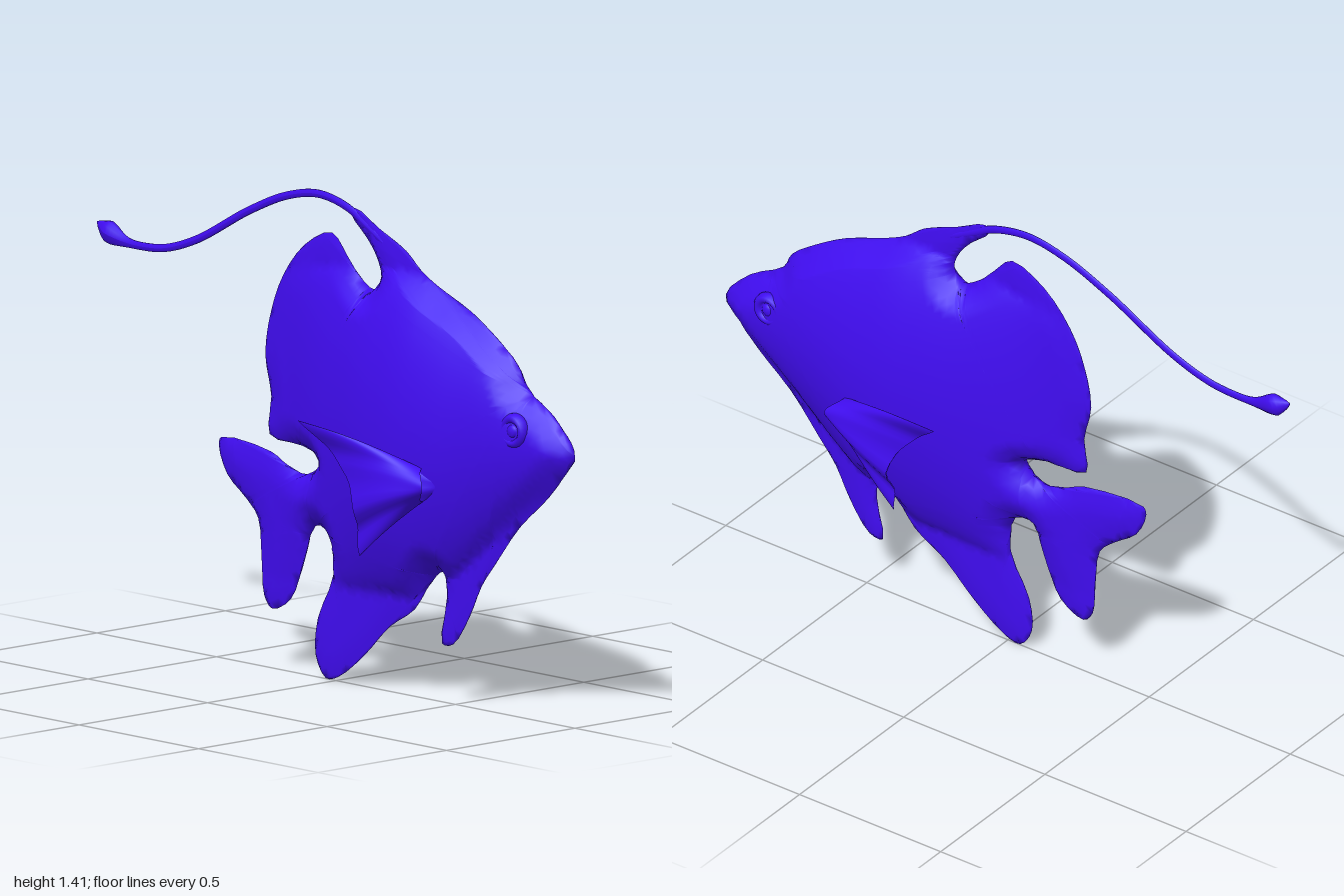
import * as THREE from 'three';
import { mergeVertices } from 'three/addons/utils/BufferGeometryUtils.js';
import { ParametricGeometry } from 'three/addons/geometries/ParametricGeometry.js';

const material = new THREE.MeshStandardMaterial({ color: 0x400cf0, side: THREE.DoubleSide });

// Side outline of the body with its dorsal, tail, anal and pelvic fins, as x, y pairs
const outline = [
  1, .79, .91, .895, .795, .965, .765, 1.02, .68, 1.085, .57, 1.15, .43, 1.205, .36, 1.24, .295, 1.29,
  .18, 1.34, .08, 1.385, .065, 1.365, .13, 1.305, .17, 1.257, .19, 1.2, .16, 1.16, .1, 1.19, .05, 1.24,
  -.015, 1.3, -.13, 1.25, -.22, 1.15, -.27, 1.04, -.295, .91, -.27, .79, -.277, .68, -.14, .665,
  -.055, .633, -.12, .585, -.2, .6, -.27, .63, -.48, .643, -.49, .62, -.455, .54, -.375, .48,
  -.325, .43, -.31, .31, -.3, .21, -.267, .175, -.187, .215, -.14, .31, -.085, .44, -.027, .43,
  -.01, .31, -.075, .175, -.085, .067, -.043, .005, .01, .015, .12, .093, .225, .19, .33, .255,
  .405, .35, .45, .38, .465, .31, .443, .173, .49, .175, .56, .265, .61, .36, .67, .435, .77, .553,
  .89, .655, .966, .74,
];

// Flesh of the body at stations along x: [x, half width, centre height, half height]
const stations = [
  [-.5, .004, .55, .3], [-.3, .006, .7, .42], [-.2, .014, .72, .45], [-.03, .06, .74, .46], [.2, .108, .76, .47],
  [.36, .124, .76, .47], [.5, .116, .77, .4], [.7, .08, .81, .28], [.85, .05, .8, .16],
  [.94, .042, .79, .1], [1.05, .01, .79, .04],
];

function station(x, column) {
  let sum = 0;
  for (const shift of [-.05, -.025, 0, .025, .05]) {
    const p = THREE.MathUtils.clamp(x + shift, -.5, 1.05);
    const i = Math.max(1, stations.findIndex((s) => s[0] >= p));
    const [a, b] = [stations[i - 1], stations[i]];
    sum += THREE.MathUtils.mapLinear(p, a[0], b[0], a[column], b[column]);
  }
  return sum / 5;
}

function distanceToEdge(p, edge) {
  let best = Infinity;
  edge.forEach((a, i) => {
    const b = edge[(i + 1) % edge.length];
    const dx = b.x - a.x, dy = b.y - a.y;
    const t = THREE.MathUtils.clamp(((p.x - a.x) * dx + (p.y - a.y) * dy) / (dx * dx + dy * dy), 0, 1);
    best = Math.min(best, Math.hypot(p.x - a.x - t * dx, p.y - a.y - t * dy));
  });
  return best;
}

// Fill the outline with small triangles, then swell both sides
function createBody() {
  const knots = [];
  for (let i = 0; i < outline.length; i += 2) knots.push(new THREE.Vector3(outline[i], outline[i + 1], 0));
  const edge = new THREE.CatmullRomCurve3(knots, true, 'centripetal').getPoints(knots.length * 3)
    .slice(0, -1).map((p) => new THREE.Vector2(p.x, p.y));
  if (THREE.ShapeUtils.isClockWise(edge)) edge.reverse();

  const stack = THREE.ShapeUtils.triangulateShape(edge, []).map((f) => f.map((i) => edge[i]));
  const triangles = [];
  while (stack.length) {
    const t = stack.pop();
    const lengths = t.map((p, i) => p.distanceTo(t[(i + 1) % 3]));
    const longest = Math.max(...lengths);
    if (longest < .035) {
      triangles.push(t);
      continue;
    }
    const i = lengths.indexOf(longest);
    const [a, b, c] = [t[i], t[(i + 1) % 3], t[(i + 2) % 3]];
    const middle = a.clone().add(b).multiplyScalar(.5);
    stack.push([a, middle, c], [middle, b, c]);
  }

  const depth = (p) => {
    const t = (p.y - station(p.x, 2)) / station(p.x, 3);
    const flesh = station(p.x, 1) * Math.pow(Math.max(0, 1 - t * t), .75);
    const d = distanceToEdge(p, edge);
    return d < 1e-5 ? 0 : (flesh + .009) * Math.sqrt(Math.min(1, d / .07));
  };
  const positions = [];
  for (const t of triangles) {
    const z = t.map(depth);
    for (const i of [0, 1, 2]) positions.push(t[i].x, t[i].y, z[i]);
    for (const i of [2, 1, 0]) positions.push(t[i].x, t[i].y, -z[i]);
  }
  const geometry = new THREE.BufferGeometry();
  geometry.setAttribute('position', new THREE.Float32BufferAttribute(positions, 3));
  const merged = mergeVertices(geometry, 1e-5);
  merged.computeVertexNormals();
  return merged;
}

// Long trailing filament: a tube thinned along its length, ending in a bulb
function createFilament() {
  const path = new THREE.CatmullRomCurve3([
    [.2, 1.3], [.12, 1.345], [.05, 1.382], [-.07, 1.405], [-.2, 1.383], [-.36, 1.318], [-.58, 1.203],
    [-.71, 1.16], [-.8, 1.151], [-.88, 1.155], [-.95, 1.175], [-1, 1.197],
  ].map(([x, y]) => new THREE.Vector3(x, y, 0)));
  const rows = 100, sides = 10;
  const geometry = new THREE.TubeGeometry(path, rows, 1, sides);
  const position = geometry.attributes.position, v = new THREE.Vector3();
  for (let i = 0; i < position.count; i++) {
    const u = Math.floor(i / (sides + 1)) / rows;
    const centre = path.getPointAt(u);
    const bulb = Math.exp(-Math.pow((u - .955) / .045, 2));
    const radius = (.012 + .021 * bulb) * Math.sqrt(Math.min(1, (1 - u) / .04));
    v.fromBufferAttribute(position, i).sub(centre).multiplyScalar(radius);
    v.z *= .5 + .2 * bulb;
    v.add(centre);
    position.setXYZ(i, v.x, v.y, v.z);
  }
  geometry.computeVertexNormals();
  return geometry;
}

// Pectoral fin: a thin wavy fan from a thick root to a ragged trailing edge
function createPectoralFin(side) {
  const curve = (points) => new THREE.CatmullRomCurve3(points.map((p) => new THREE.Vector3(...p)));
  const root = curve([[.49, .7, .12], [.53, .665, .135], [.53, .645, .135], [.49, .605, .12]]);
  const trail = curve([[.09, .8, .232], [.165, .735, .19], [.215, .685, .195], [.26, .63, .18],
    [.287, .55, .2], [.275, .49, .17], [.28, .425, .163]]);
  return new ParametricGeometry((u, v, target) => {
    const angle = v * Math.PI * 2;
    const across = (1 - Math.cos(angle)) / 2;
    target.copy(root.getPoint(across)).lerp(trail.getPoint(across), u);
    const wave = .008 * Math.sin(across * 15) * u + .012 * Math.sin(u * Math.PI);
    target.y += .015 * Math.sin(u * Math.PI) * (1 - across);
    target.z += wave + Math.sin(angle) * (.024 * (1 - u) + .002);
    target.z *= side;
  }, 20, 48);
}

// Eye: a rounded disc with a ring groove and a raised pupil
const eyeProfile = [[0, .072], [.012, .071], [.018, .066], [.021, .06], [.026, .066], [.034, .073],
  [.044, .07], [.051, .06], [.052, .048], [.046, .035], [.03, .025]].map(([r, h]) => new THREE.Vector2(r, h));

export function createModel() {
  const model = new THREE.Group();
  model.name = 'fish';
  const add = (name, geometry) => {
    const mesh = new THREE.Mesh(geometry, material);
    mesh.name = name;
    model.add(mesh);
    return mesh;
  };

  add('bodyWithFins', createBody());
  add('filament', createFilament());
  for (const [name, side] of [['left', -1], ['right', 1]].map(([n, s]) => [n, -s])) {
    const label = side > 0 ? 'left' : 'right';
    add(`${label}PectoralFin`, createPectoralFin(side));
    const eye = add(`${label}Eye`, new THREE.LatheGeometry(eyeProfile, 28));
    eye.rotation.x = side * Math.PI / 2;
    eye.position.set(.805, .845, 0);
  }
  return model;
}
